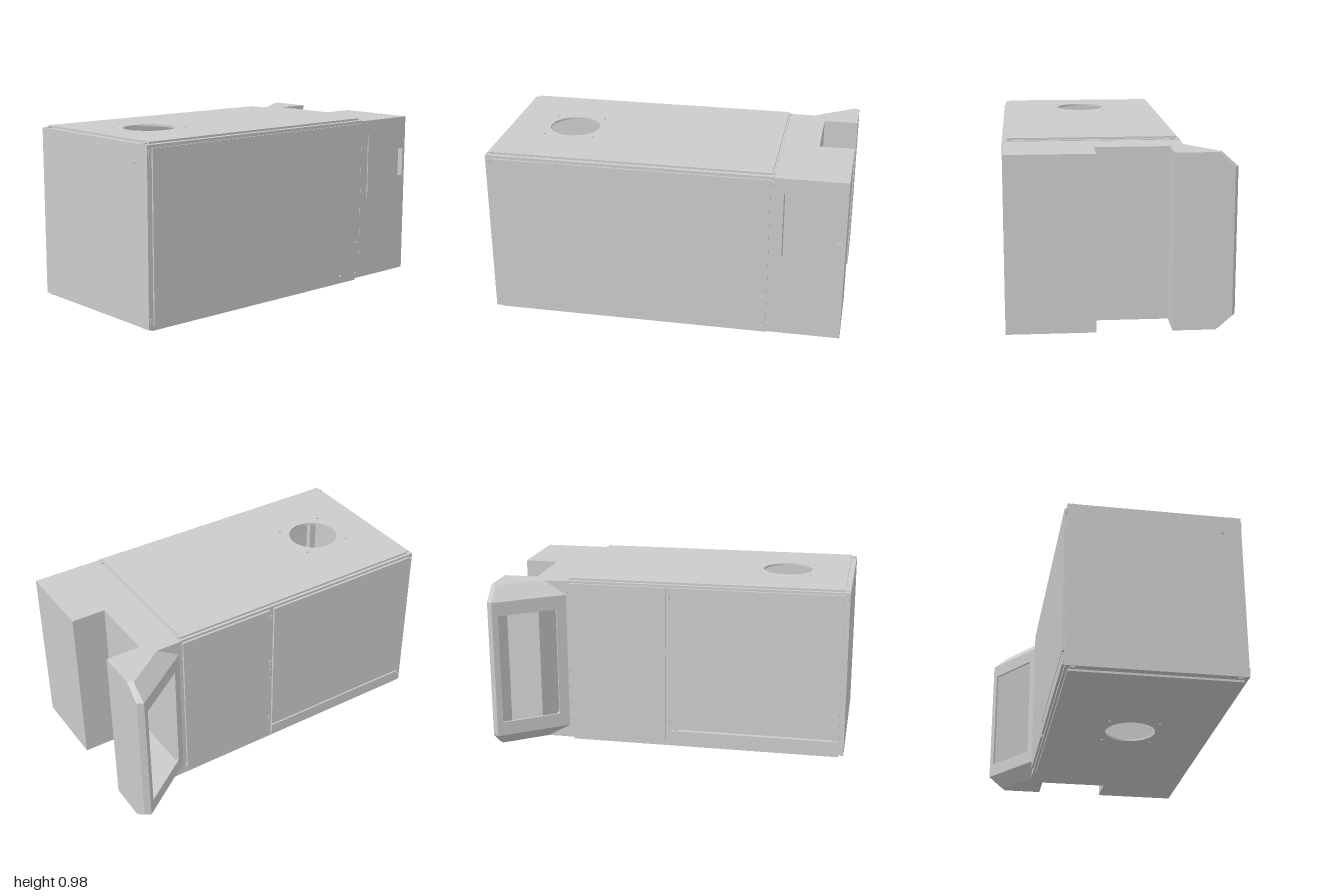
import * as THREE from 'three';

const grey = new THREE.MeshStandardMaterial({ color: 0xcccccc, side: THREE.DoubleSide, flatShading: true });
const smooth = new THREE.MeshStandardMaterial({ color: 0xcccccc, side: THREE.DoubleSide });

function rectPath(PathType, x0, x1, y0, y1) {
  const path = new PathType();
  path.moveTo(x0, y0).lineTo(x1, y0).lineTo(x1, y1).lineTo(x0, y1).closePath();
  return path;
}
const rectHole = (x0, x1, y0, y1) => rectPath(THREE.Path, x0, x1, y0, y1);
const roundHole = (x, y, r) => new THREE.Path().absarc(x, y, r, 0, Math.PI * 2, true);

export function createModel() {
  const model = new THREE.Group();

  function add(name, geometry, parent = model, material = grey) {
    const mesh = new THREE.Mesh(geometry, material);
    mesh.name = name;
    parent.add(mesh);
    return mesh;
  }
  function group(name) {
    const g = new THREE.Group();
    g.name = name;
    model.add(g);
    return g;
  }
  function box(name, x0, x1, y0, y1, z0, z1, parent) {
    const g = new THREE.BoxGeometry(x1 - x0, y1 - y0, z1 - z0);
    add(name, g.translate((x0 + x1) / 2, (y0 + y1) / 2, (z0 + z1) / 2), parent);
  }
  // Upright sheet whose outer face runs from P to Q in plan [x, z]; thickness goes inward
  function wall(name, P, Q, y0, y1, t, holes = [], parent = model) {
    const along = new THREE.Vector3(Q[0] - P[0], 0, Q[1] - P[1]);
    const length = along.length();
    const up = new THREE.Vector3(0, 1, 0);
    along.normalize();
    const out = along.clone().cross(up);
    const shape = rectPath(THREE.Shape, 0, length, y0, y1);
    shape.holes.push(...holes);
    const g = new THREE.ExtrudeGeometry(shape, { depth: t, bevelEnabled: false, curveSegments: 12 });
    g.translate(0, 0, -t);
    g.applyMatrix4(new THREE.Matrix4().makeBasis(along, up, out).setPosition(P[0], 0, P[1]));
    add(name, g, parent);
  }
  // Level sheet with a round duct opening and four screw holes around it
  function ductPlate(name, y, t, cx, cz) {
    const shape = rectPath(THREE.Shape, -0.34, 0.58, -0.97, 0.59);
    shape.holes.push(roundHole(cx, -cz, 0.143));
    for (const sx of [-1, 1]) for (const sz of [-1, 1])
      shape.holes.push(roundHole(cx + sx * 0.142, -cz + sz * 0.142, 0.008));
    const g = new THREE.ExtrudeGeometry(shape, { depth: t, bevelEnabled: false, curveSegments: 48 });
    add(name, g.rotateX(-Math.PI / 2).translate(0, y, 0), model, smooth);
  }

  // Frame rails along the edges of the main cabinet
  const frame = group('cabinetFrame');
  const xs = [[-0.354, -0.314], [0.56, 0.599]];
  const ys = [[0.02, 0.06], [0.935, 0.974]];
  const zs = [[-0.6, -0.56], [0.93, 0.972]];
  for (const x of xs) for (const y of ys) box('longRail', ...x, ...y, -0.6, 0.972, frame);
  for (const y of ys) for (const z of zs) box('crossRail', -0.354, 0.599, ...y, ...z, frame);
  for (const x of xs) for (const z of zs) box('cornerPost', ...x, 0.02, 0.974, ...z, frame);
  box('middlePost', -0.354, -0.32, 0.02, 0.974, -0.06, 0.03, frame);

  // Outer panels
  wall('frontPanel', [-0.355, 1], [0.6, 1], 0.02, 0.975, 0.028, [roundHole(0.85, 0.87, 0.007)]);
  wall('leftPanel', [0.608, 0.97], [0.608, -0.585], 0.035, 0.957, 0.009,
    [[1.395, 0.06], [1.53, 0.06], [1.53, 0.25]].map(([u, y]) => roundHole(u, y, 0.008)));
  wall('rightRearPanel', [-0.367, -0.59], [-0.367, -0.03], 0.035, 0.96, 0.013);
  wall('rightFrontPanel', [-0.367, 0], [-0.367, 0.97], 0.115, 0.96, 0.013);
  wall('rightLowerStrip', [-0.367, 0], [-0.367, 0.97], 0.035, 0.105, 0.013);
  ductPlate('topPanel', 0.976, 0.011, 0.12, 0.615);
  ductPlate('bottomPanel', 0.003, 0.012, 0.12, 0.2);

  // Small clips at the panel corners and on the middle post
  const clips = group('panelClips');
  for (const z of [-0.592, 0.984]) {
    for (const y of [0.062, 0.935]) {
      box('sideClip', 0.597, 0.605, y - 0.014, y + 0.014, z - 0.009, z + 0.009, clips);
      box('sideClip', -0.361, -0.353, y - 0.014, y + 0.014, z - 0.009, z + 0.009, clips);
    }
    for (const x of [-0.317, 0.558]) {
      box('topClip', x - 0.013, x + 0.013, 0.97, 0.981, z - 0.009, z + 0.009, clips);
      box('bottomClip', x - 0.013, x + 0.013, 0.013, 0.024, z - 0.009, z + 0.009, clips);
    }
  }
  for (const y of [0.16, 0.46, 0.52, 0.58, 0.9])
    box('middleClip', -0.36, -0.353, y - 0.015, y + 0.015, -0.022, -0.008, clips);

  // Rear housing: notched plan with a slanted wing, narrower at its top and bottom
  const rear = group('rearHousing');
  const plan = (g, h, i) => [[0.6, -0.6], [0.6, -1], [0.125, -1], [0.125, -0.805], [-0.275, -0.805],
    [-0.275, -1], g, h, i, [-0.355, -0.6]];
  const wide = plan([-0.59, -1], [-0.61, -0.967], [-0.355, -0.612]);
  const narrow = plan([-0.5, -1], [-0.52, -0.972], [-0.355, -0.742]);
  const rings = [[0.02, narrow], [0.095, wide], [0.89, wide], [0.97, narrow]];
  const positions = [];
  for (let k = 0; k < 3; k++) {
    const [y0, low] = rings[k], [y1, high] = rings[k + 1];
    for (let i = 0; i < low.length; i++) {
      if (k === 1 && (i === 0 || i === 7)) continue; // walls with openings are added below
      const j = (i + 1) % low.length;
      const a = [low[i][0], y0, low[i][1]], b = [low[j][0], y0, low[j][1]];
      const c = [high[j][0], y1, high[j][1]], d = [high[i][0], y1, high[i][1]];
      positions.push(...a, ...b, ...c, ...a, ...c, ...d);
    }
  }
  const shell = new THREE.BufferGeometry();
  shell.setAttribute('position', new THREE.Float32BufferAttribute(positions, 3));
  shell.computeVertexNormals();
  add('housingWalls', shell, rear);
  for (const y of [0.02, 0.97]) {
    const cap = new THREE.ShapeGeometry(new THREE.Shape(narrow.map(([x, z]) => new THREE.Vector2(x, -z))));
    add(y < 0.5 ? 'housingFloor' : 'housingRoof', cap.rotateX(-Math.PI / 2).translate(0, y, 0), rear);
  }
  wall('slottedWall', wide[0], wide[1], 0.095, 0.89, 0.008,
    [rectHole(0.34, 0.38, 0.61, 0.775), rectHole(0.057, 0.063, 0.5, 0.885)], rear);
  wall('intakeWall', wide[7], wide[8], 0.095, 0.89, 0.012, [rectHole(0.034, 0.377, 0.175, 0.81)], rear);

  return model;
}
